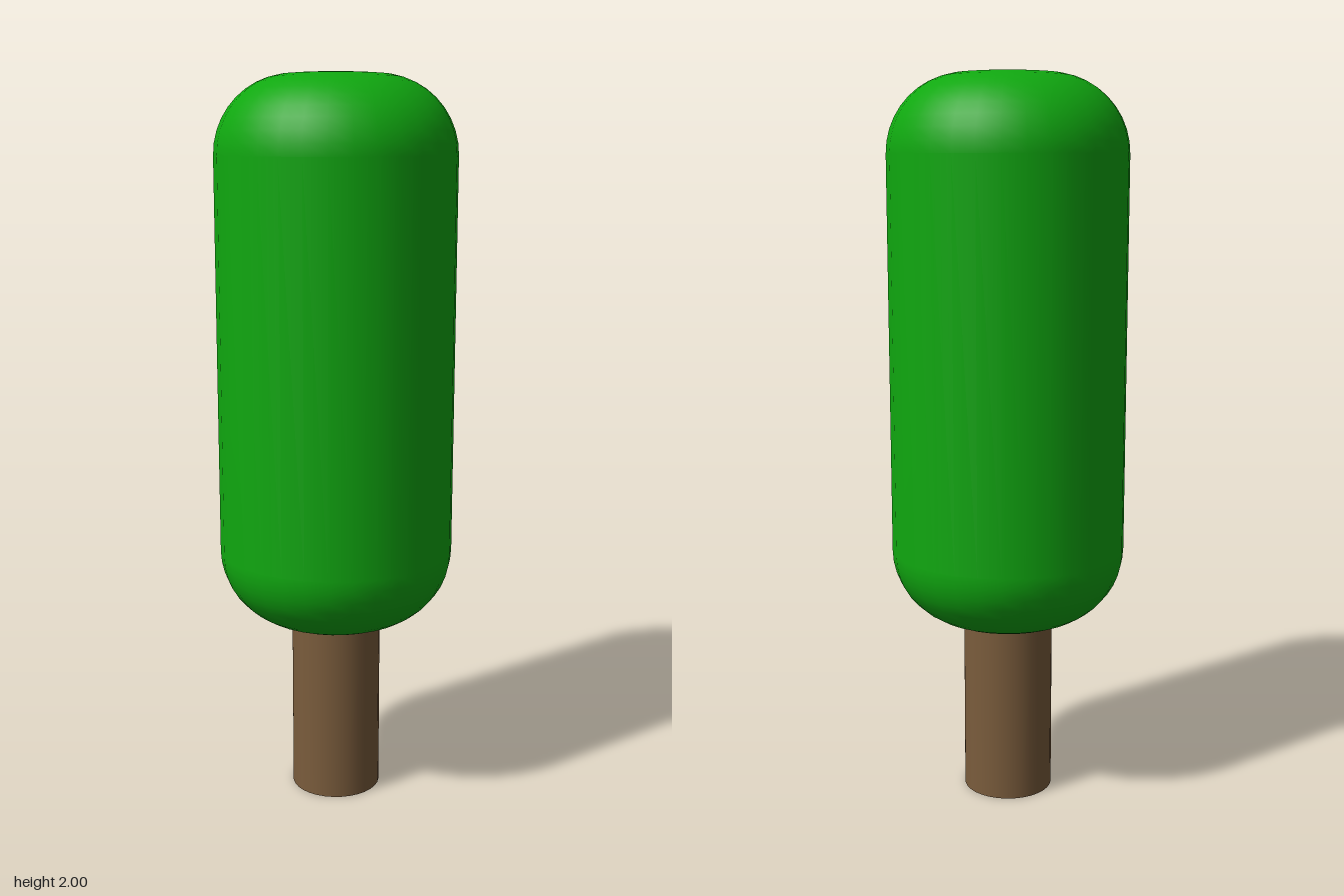
import * as THREE from 'three';

const SIDES = 32;

export function createModel() {
  const model = new THREE.Group();
  model.name = 'tree';

  // Trunk: plain capped cylinder
  const trunk = new THREE.Mesh(
    new THREE.CylinderGeometry(0.125, 0.125, 0.5, SIDES),
    new THREE.MeshStandardMaterial({ color: 0x7a5c3c })
  );
  trunk.name = 'trunk';
  trunk.position.y = 0.25;
  model.add(trunk);

  // Crown: upright cylinder with rounded rims, turned from a profile
  const radius = 0.325, bottom = 0.5, top = 2, rim = 0.21, steps = 10;
  const profile = [new THREE.Vector2(0, bottom)];
  const addRim = (centerY, startAngle) => {
    for (let i = 0; i <= steps; i++) {
      const a = startAngle + (i / steps) * Math.PI / 2;
      profile.push(new THREE.Vector2(radius - rim + rim * Math.cos(a), centerY + rim * Math.sin(a)));
    }
  };
  addRim(bottom + rim, -Math.PI / 2);
  addRim(top - rim, 0);
  profile.push(new THREE.Vector2(0, top));

  const crown = new THREE.Mesh(
    new THREE.LatheGeometry(profile, SIDES),
    new THREE.MeshStandardMaterial({ color: 0x10a810 })
  );
  crown.name = 'crown';
  model.add(crown);

  return model;
}
